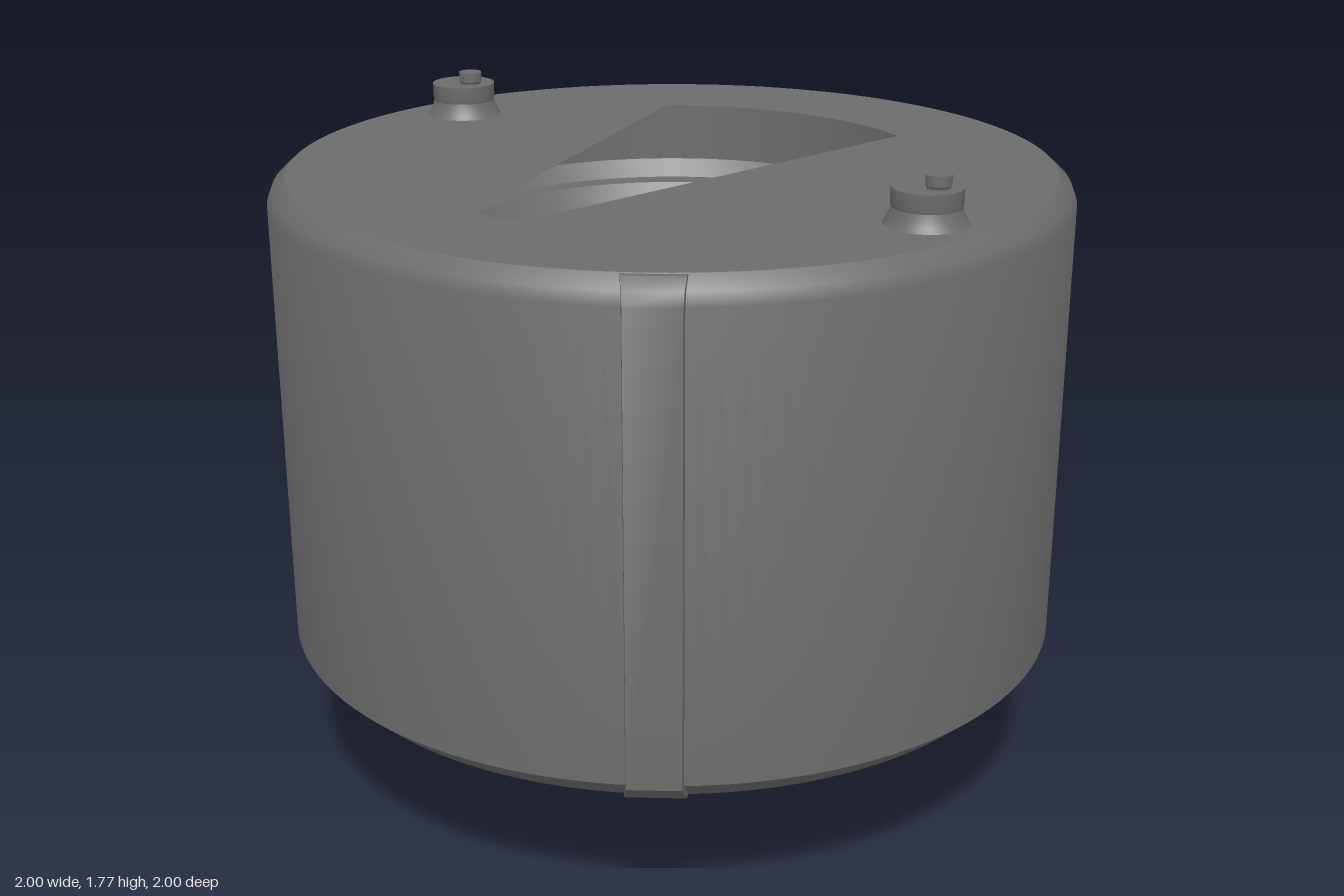
import * as THREE from 'three';
import { toCreasedNormals } from 'three/addons/utils/BufferGeometryUtils.js';

const TOP = 1.655;

export function createModel() {
  const group = new THREE.Group();
  const grey = new THREE.MeshStandardMaterial({ color: 0x6c6c6c });
  const thin = new THREE.MeshStandardMaterial({ color: 0x6c6c6c, side: THREE.DoubleSide });

  const add = (name, geometry, material = grey, parent = group) => {
    const mesh = new THREE.Mesh(geometry, material);
    mesh.name = name;
    parent.add(mesh);
    return mesh;
  };
  const turn = (points, segments = 96) => toCreasedNormals(
    new THREE.LatheGeometry(points.map(([r, y]) => new THREE.Vector2(r, y)), segments), 0.5);

  // Drum with chamfered edges and a tapered foot
  add('drumAndFoot', turn([
    [0, 0], [0.23, 0], [0.49, 0.4], [0.935, 0.4], [1, 0.46],
    [1, 1.595], [0.988, 1.625], [0.955, TOP],
  ], 128));

  // Lid with a wedge-shaped opening, wide at the back
  const lid = new THREE.Shape();
  lid.absarc(0, 0, 0.955, 0, Math.PI * 2, false);
  const slot = new THREE.Path();
  slot.absarc(0, 0, 0.66, 1.237, 2.382, false);
  slot.absarc(0, 0, 0.66, -1.556, -1.342, false);
  slot.closePath();
  lid.holes.push(slot);
  add('lid', new THREE.ShapeGeometry(lid, 64).rotateX(-Math.PI / 2).translate(0, TOP, 0), thin);

  // Inner well: wall, chamfer, ledge, funnel and floor
  add('innerFunnel', turn([
    [0.662, TOP], [0.662, 1.505], [0.63, 1.46], [0.57, 1.46], [0.085, 0.7], [0, 0.7],
  ]));

  // Raised rib on the side, narrowing slightly outwards
  const profile = [[0.9, 0.402], [0.955, 0.402], [1.02, 0.46], [1.02, 1.6],
    [1.005, 1.63], [0.972, TOP - 0.002], [0.9, TOP - 0.002]];
  const ribShape = new THREE.Shape(profile.map(([r, y]) => new THREE.Vector2(r, y)));
  const ribGeometry = new THREE.ExtrudeGeometry(ribShape, { depth: 1, bevelEnabled: false });
  const p = ribGeometry.attributes.position;
  for (let i = 0; i < p.count; i++) {
    const halfWidth = 0.064 + (1.02 - p.getX(i)) * 0.12;
    p.setZ(i, (p.getZ(i) - 0.5) * 2 * halfWidth);
  }
  add('sideRib', toCreasedNormals(ribGeometry, 0.5)).rotation.y = -0.827;

  // Two terminals, each with an off-centre pin
  for (const side of [1, -1]) {
    const terminal = new THREE.Group();
    terminal.name = side > 0 ? 'leftTerminal' : 'rightTerminal';
    terminal.position.set(side * 0.805, TOP, 0);
    add('terminalBase', turn([
      [0.1, 0], [0.092, 0.012], [0.085, 0.026], [0.081, 0.04], [0.083, 0.048], [0.083, 0.085], [0, 0.085],
    ], 48), grey, terminal);
    add('terminalPin', turn([
      [0.027, 0.085], [0.027, 0.089], [0.03, 0.093], [0.03, 0.118], [0, 0.118],
    ], 32), grey, terminal).position.x = 0.03;
    group.add(terminal);
  }

  return group;
}
